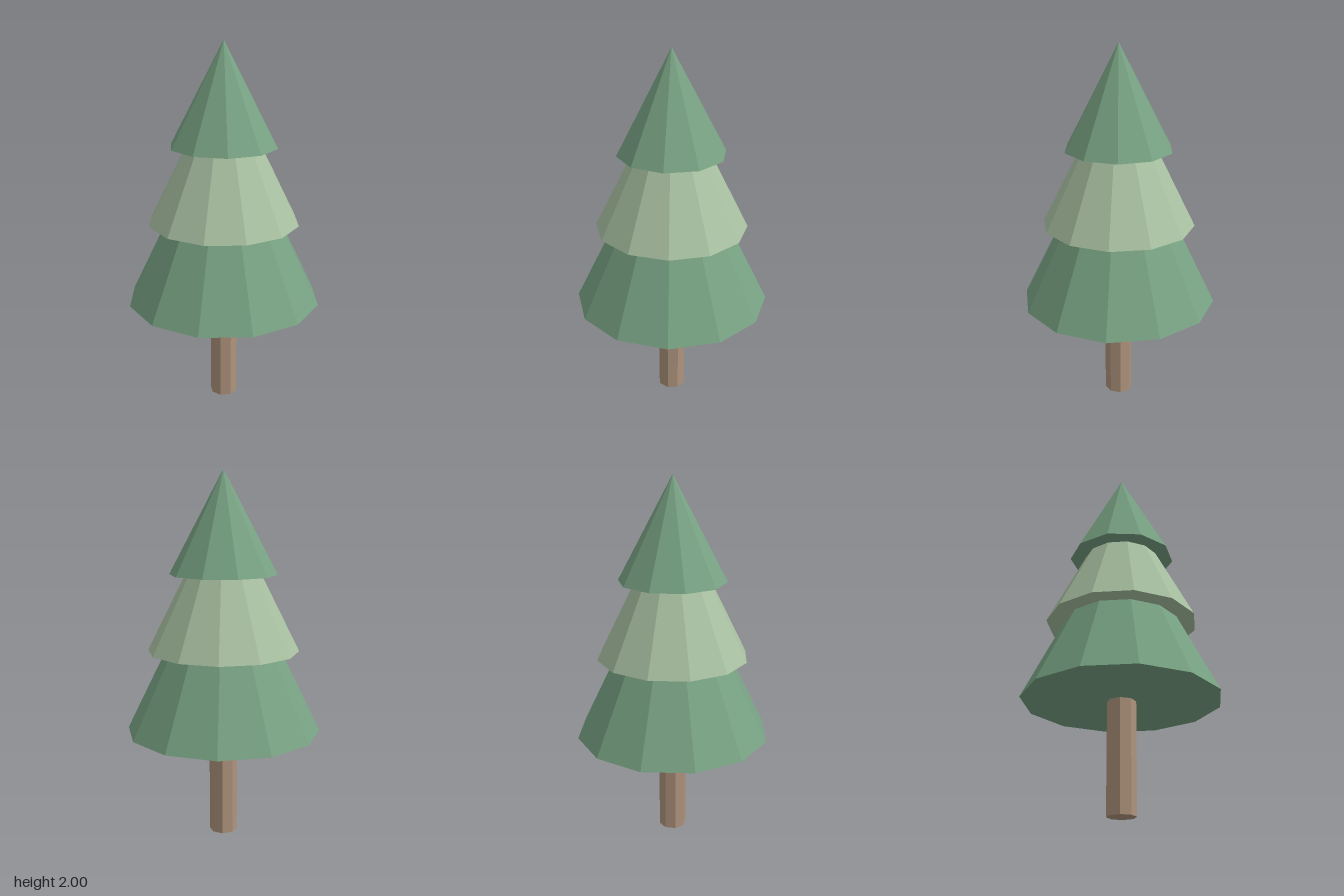
import * as THREE from 'three';

function flatMaterial(name, color) {
  const material = new THREE.MeshStandardMaterial({ color, flatShading: true });
  material.name = name;
  return material;
}

export function createModel() {
  const tree = new THREE.Group();
  tree.name = 'pineTree';

  const green = flatMaterial('pineGreen', 0x78a283);
  const sage = flatMaterial('sageGreen', 0xa9c1a2);
  const bark = flatMaterial('barkBrown', 0xae937c);

  // Octagonal trunk, its top hidden inside the lowest tier
  const trunkHeight = 0.64;
  const trunk = new THREE.Mesh(new THREE.CylinderGeometry(0.077, 0.077, trunkHeight, 8), bark);
  trunk.name = 'trunk';
  trunk.position.y = trunkHeight / 2;
  tree.add(trunk);

  // Overlapping foliage cones, each with a corner pointing along +x
  const tiers = [
    { name: 'lowerFoliage', radius: 0.532, base: 0.595, tip: 1.68, sides: 12, material: green },
    { name: 'middleFoliage', radius: 0.412, base: 1.04, tip: 1.86, sides: 12, material: sage },
    { name: 'upperFoliage', radius: 0.291, base: 1.453, tip: 2, sides: 10, material: green },
  ];
  for (const { name, radius, base, tip, sides, material } of tiers) {
    const cone = new THREE.Mesh(new THREE.ConeGeometry(radius, tip - base, sides), material);
    cone.name = name;
    cone.position.y = (base + tip) / 2;
    cone.rotation.y = Math.PI / 2;
    tree.add(cone);
  }

  return tree;
}
